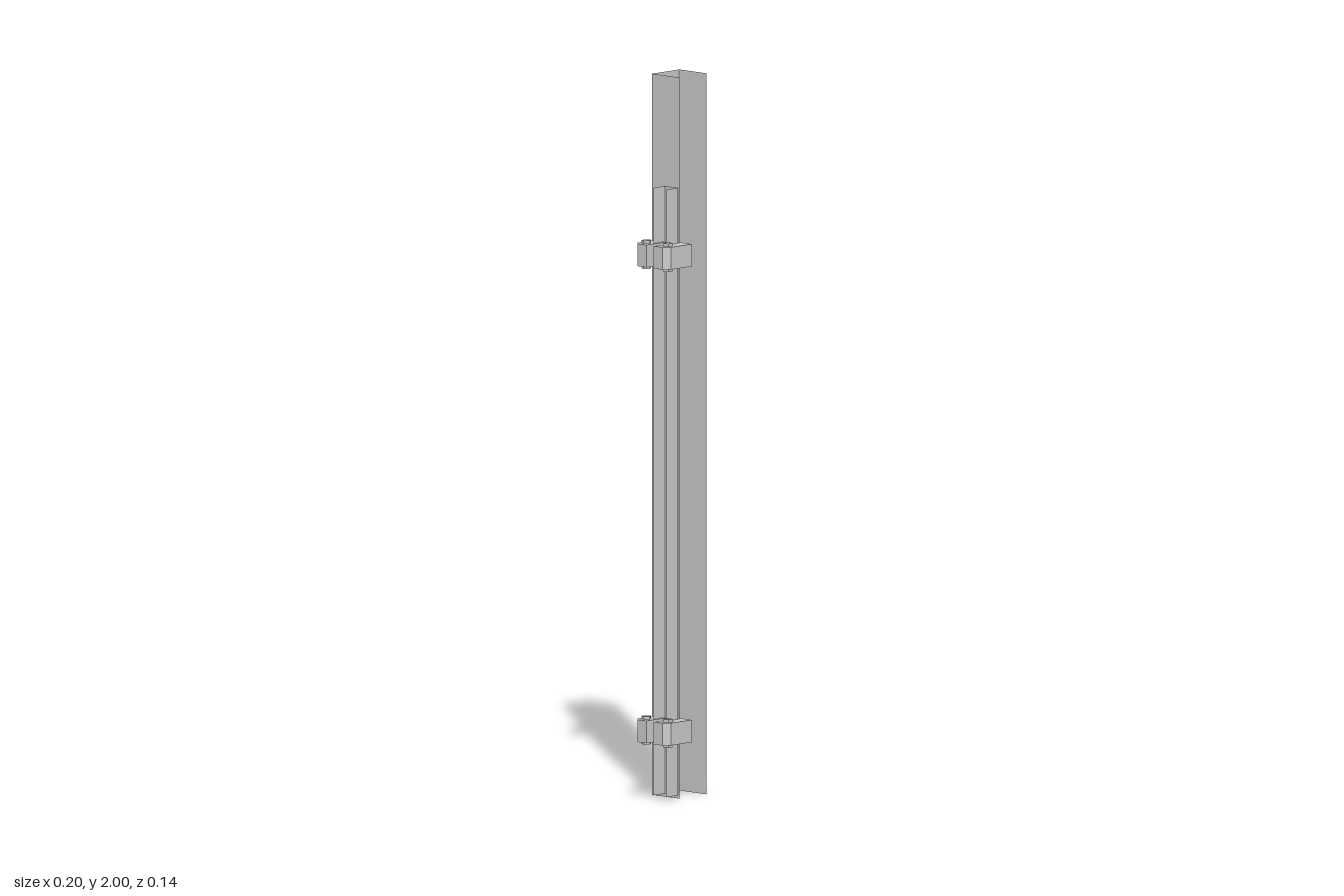
import * as THREE from 'three';

const sheet = new THREE.MeshStandardMaterial({ color: 0xcccccc, flatShading: true, side: THREE.DoubleSide });
const solid = new THREE.MeshStandardMaterial({ color: 0xcccccc, flatShading: true });

// Thin folded channel: a wall between each pair of plan points [x, z]
function channel(name, points, y0, y1) {
  const group = new THREE.Group();
  group.name = name;
  for (let i = 0; i < points.length - 1; i++) {
    const [ax, az] = points[i], [bx, bz] = points[i + 1];
    const wall = new THREE.Mesh(new THREE.PlaneGeometry(Math.hypot(bx - ax, bz - az), y1 - y0), sheet);
    wall.position.set((ax + bx) / 2, (y0 + y1) / 2, (az + bz) / 2);
    wall.rotation.y = -Math.atan2(bz - az, bx - ax);
    wall.name = name + 'Wall';
    group.add(wall);
  }
  return group;
}

// Clamp block with a chamfered outer corner and a five-sided vertical bolt;
// side = 1 faces the front, -1 the back
function clamp(y, side) {
  const group = new THREE.Group();
  group.name = side > 0 ? 'frontClamp' : 'backClamp';
  const inner = side > 0 ? 0.023 : 0.005;
  const outer = inner + 0.049, h = 0.062;
  const plan = [[0, inner], [0, outer], [-0.083, outer], [-0.1, outer - 0.015], [-0.1, inner]];
  // shape y becomes -z once the extrusion is stood upright
  const shape = new THREE.Shape(plan.map(([x, z]) => new THREE.Vector2(x, -z * side)));
  const block = new THREE.Mesh(
    new THREE.ExtrudeGeometry(shape, { depth: h, bevelEnabled: false }).rotateX(-Math.PI / 2), solid);
  block.position.y = y - h / 2;
  block.name = 'clampBlock';

  const bolt = new THREE.Mesh(new THREE.CylinderGeometry(0.014, 0.014, 0.078, 5), solid);
  bolt.rotation.y = side > 0 ? Math.PI : 0;
  bolt.position.set(-0.072, y, side > 0 ? 0.049 : -0.032);
  bolt.name = 'clampBolt';
  group.add(block, bolt);
  return group;
}

export function createModel() {
  const model = new THREE.Group();
  model.name = 'clampedChannelPost';

  // Main post, open to the front
  model.add(channel('post', [[-0.01, 0.034], [-0.01, -0.07], [0.098, -0.07], [0.098, 0.034]], 0, 2));

  // Smaller rail beside it, open to the outer side
  model.add(channel('rail', [[-0.065, 0.037], [-0.018, 0.037], [-0.018, -0.012], [-0.065, -0.012]], 0.01, 1.695));

  // Two pairs of clamps joining rail and post
  for (const y of [0.19, 1.51]) {
    for (const side of [1, -1]) model.add(clamp(y, side));
  }
  return model;
}
